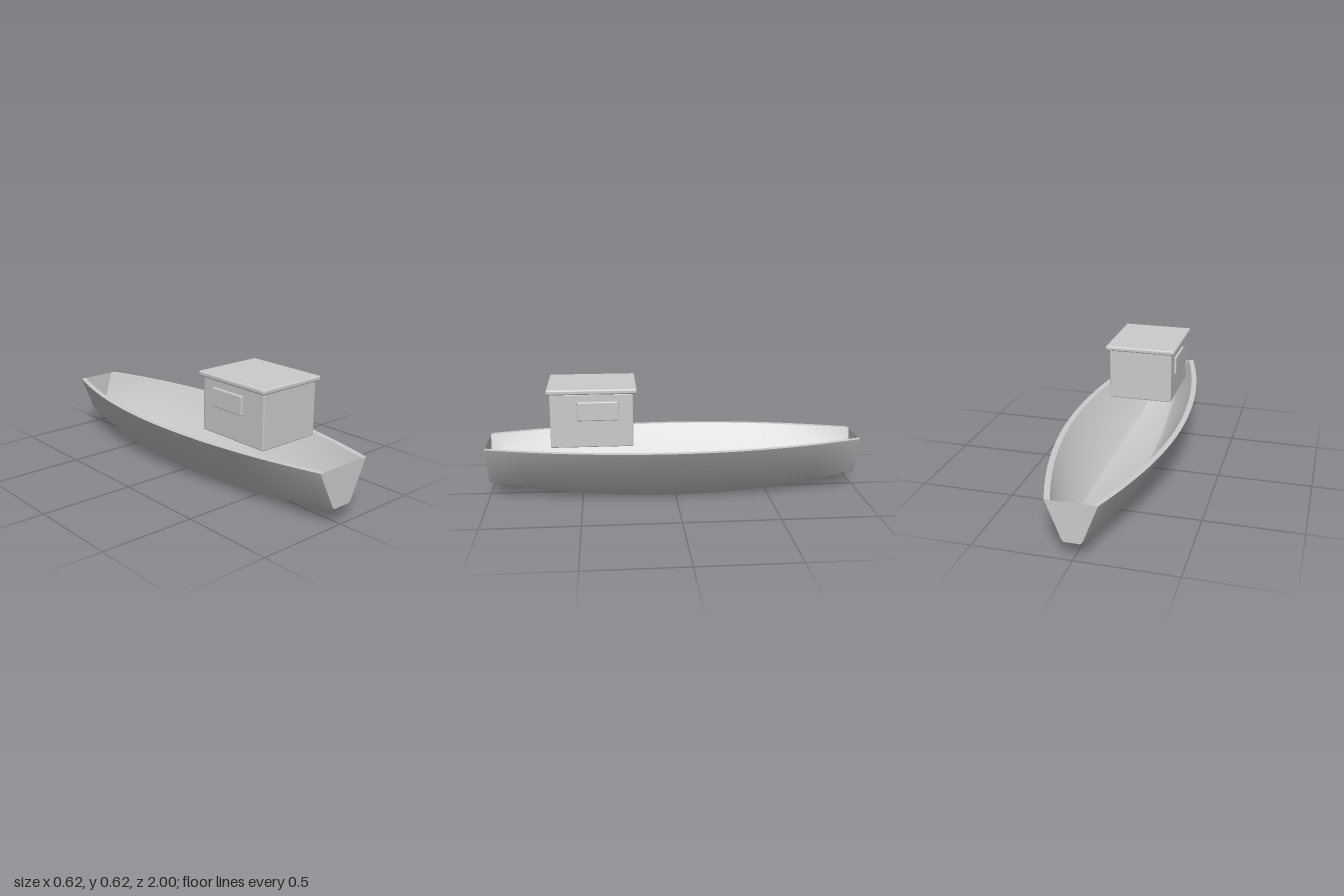
import * as THREE from 'three';
import { toCreasedNormals } from 'three/addons/utils/BufferGeometryUtils.js';
import { RoundedBoxGeometry } from 'three/addons/geometries/RoundedBoxGeometry.js';

const material = new THREE.MeshStandardMaterial({ color: 0xcccccc, side: THREE.DoubleSide });
const DECK = 0.297, RIM = 0.03, WALL = 0.022;

// Closed hull section at station z: outer skin port to starboard, then inner skin back
function section(z) {
  const half = 0.31 - (z > 0 ? 0.15 : 0.185) * z * z;
  const k = half / 0.31;
  const keel = 0.086 * z * z + (Math.abs(z) === 1 ? 0.006 : 0);
  const outer = [[half, DECK], [0.125 * k, keel + 0.013], [0.1 * k, keel]];
  const inner = [[0.095 * k, keel + WALL], [0.118 * k, keel + WALL + 0.012], [half - RIM, DECK]];
  const flip = (list) => list.map(([x, y]) => [-x, y]).reverse();
  return [...outer, ...flip(outer), ...flip(inner), ...inner].map(([x, y]) => [x, y, z]);
}

function hullGeometry() {
  const stations = [-1, -0.985];
  for (let i = -15; i <= 15; i++) stations.push(i / 16);
  stations.push(0.985, 1);

  const rings = stations.map(section);
  const n = rings[0].length;
  const index = [];
  for (let r = 0; r < rings.length - 1; r++) {
    for (let i = 0; i < n; i++) {
      const a = r * n + i, b = r * n + (i + 1) % n;
      index.push(a, b, b + n, a, b + n, a + n);
    }
  }
  // Transoms close the outer section at both ends
  const last = (rings.length - 1) * n;
  for (let i = 1; i < 5; i++) {
    index.push(0, i + 1, i);
    index.push(last, last + i, last + i + 1);
  }
  // Point the skins outward
  for (let t = 0; t < index.length; t += 3) {
    [index[t + 1], index[t + 2]] = [index[t + 2], index[t + 1]];
  }
  const geometry = new THREE.BufferGeometry();
  geometry.setAttribute('position', new THREE.Float32BufferAttribute(rings.flat(2), 3));
  geometry.setIndex(index);
  // Check the winding on the keel and turn it over if it faces up
  const p = geometry.attributes.position;
  const v = (i) => new THREE.Vector3().fromBufferAttribute(p, i);
  const a = v(2), b = v(3), c = v(3 + n);
  const keelFacesUp = b.sub(a).cross(c.sub(a)).y > 0;
  if (!keelFacesUp) {
    for (let t = 0; t < index.length; t += 3) {
      [index[t + 1], index[t + 2]] = [index[t + 2], index[t + 1]];
    }
    geometry.setIndex(index);
  }
  return toCreasedNormals(geometry, 0.65);
}

export function createModel() {
  const model = new THREE.Group();
  model.name = 'boat';

  const add = (name, geometry, x = 0, y = 0, z = 0) => {
    const mesh = new THREE.Mesh(geometry, material);
    mesh.name = name;
    mesh.position.set(x, y, z);
    model.add(mesh);
  };

  add('hull', hullGeometry());

  // Wheelhouse with overhanging roof
  add('cabin', new RoundedBoxGeometry(0.356, 0.283, 0.428, 2, 0.006), 0, 0.4465, 0.44);
  add('roof', new RoundedBoxGeometry(0.394, 0.027, 0.464, 2, 0.009), 0, 0.6015, 0.438);

  // Side windows
  for (const [name, side] of [['leftWindow', 1], ['rightWindow', -1]]) {
    add(name, new RoundedBoxGeometry(0.024, 0.1, 0.212, 2, 0.006), side * 0.178, 0.498, 0.408);
  }
  return model;
}
